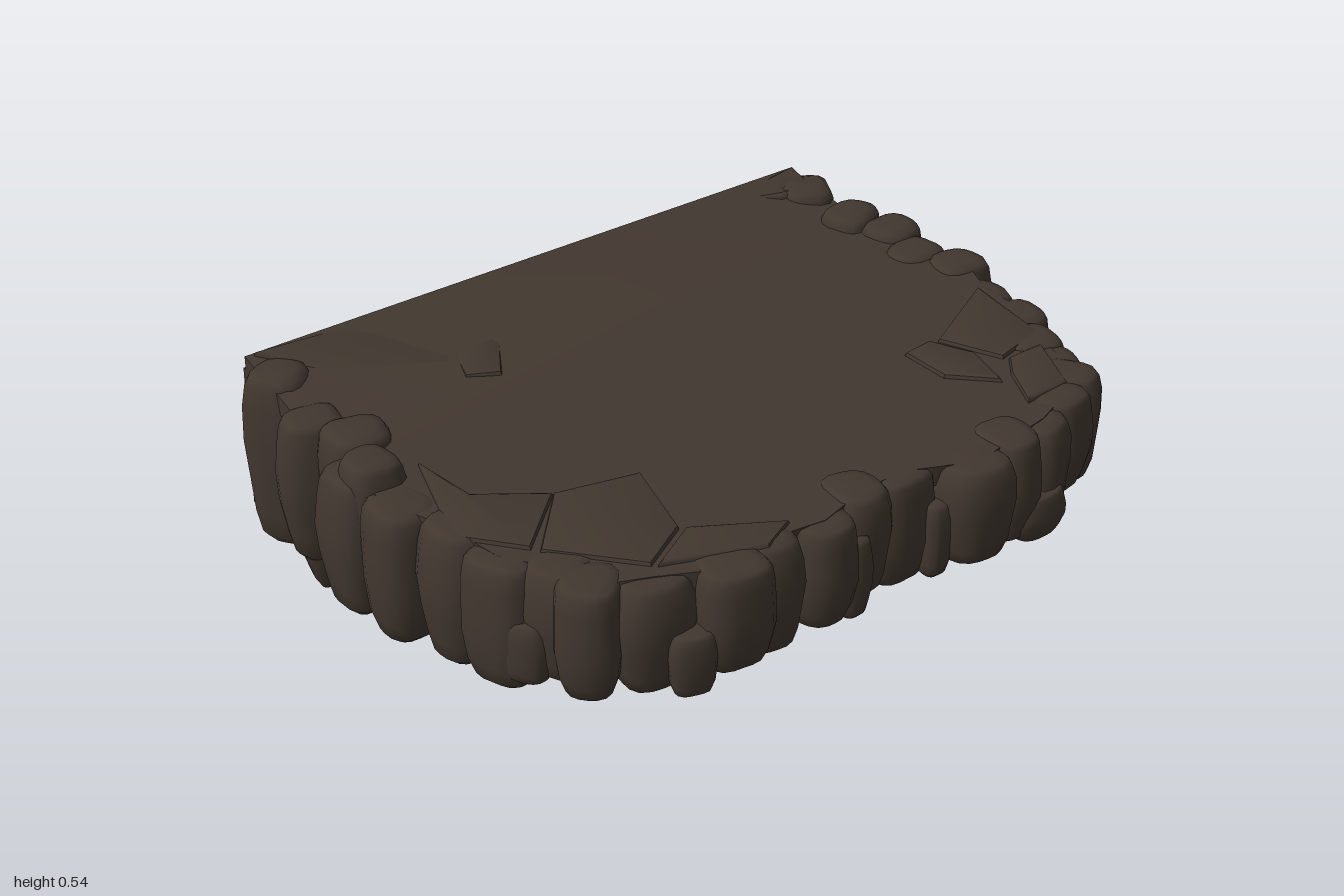
import * as THREE from 'three';
import { mergeVertices, toCreasedNormals } from 'three/addons/utils/BufferGeometryUtils.js';

const rock = new THREE.MeshStandardMaterial({ color: 0x41372f });
rock.name = 'dark brown rock';

const { smoothstep } = THREE.MathUtils;
const wave = (seed) => Math.sin(seed * 2.3);

// The deck falls gently from back to front
const deckY = (z) => 0.466 - 0.025 * z;

// Outward direction around the rounded plan
const outward = (x, z) => new THREE.Vector2(x ** 3, (z / 0.75) ** 3 / 0.75).normalize();

function part(name, geometry) {
  const mesh = new THREE.Mesh(geometry, rock);
  mesh.name = name;
  return mesh;
}

// Move every vertex by a rule
function reshape(geometry, rule) {
  const p = geometry.attributes.position;
  const v = new THREE.Vector3();
  for (let i = 0; i < p.count; i++) {
    rule(v.fromBufferAttribute(p, i));
    p.setXYZ(i, v.x, v.y, v.z);
  }
  geometry.computeVertexNormals();
  return geometry;
}

// Flat slab from an x, z outline, following the deck and lifted at the back corners
function slab(name, outline, raise, thick, bevel) {
  const g = new THREE.ExtrudeGeometry(new THREE.Shape(outline), {
    depth: thick, bevelEnabled: bevel > 0, bevelSize: bevel, bevelThickness: bevel,
    bevelOffset: -bevel, bevelSegments: 2,
  });
  g.rotateX(Math.PI / 2);
  reshape(g, (v) => {
    const corner = smoothstep(Math.abs(v.x), 0.55, 0.85) * smoothstep(-v.z, 0.45, 0.65);
    v.y += deckY(v.z) + raise - bevel + 0.04 * corner;
  });
  return part(name, toCreasedNormals(g, 0.7));
}

// Upright weathered stone: a blocky lathe, fuller at the middle, rounded below.
// x, z is its outermost point.
const PROFILE = [[0, 0], [0.45, 0.01], [0.72, 0.07], [0.86, 0.2], [0.97, 0.42],
  [1, 0.62], [0.95, 0.82], [0.87, 0.94], [0.76, 0.985], [0.5, 1], [0, 1]];
function stone(name, x, z, halfW, halfD, bottom, top, seed, taper = 0) {
  const out = outward(x, z);
  let g = new THREE.LatheGeometry(PROFILE.map(([r, y]) => new THREE.Vector2(r, y)), 18);
  g.deleteAttribute('uv');
  g.deleteAttribute('normal');
  g = mergeVertices(g, 1e-4);
  reshape(g, (v) => {
    const a = Math.atan2(v.x, v.z);
    const square = (Math.abs(Math.sin(a)) ** 3 + Math.abs(Math.cos(a)) ** 3) ** (-1 / 3);
    const lump = 0.93 + 0.04 * Math.sin(3 * a + seed * 1.7) + 0.03 * Math.sin(v.y * 9 + seed * 3);
    const size = square * lump * (1 - taper * Math.max(0, 0.45 - v.y));
    v.x *= size * halfW;
    v.z *= size * halfD;
    v.y = bottom + v.y * (top - bottom);
  });
  g.rotateY(Math.atan2(out.x, out.y) + 0.1 * wave(seed));
  g.translate(x - out.x * halfD, 0, z - out.y * halfD);
  return part(name, g);
}

// Outermost points of the rim stones, from back right round the front
const RIM = [
  [-0.95, -0.44], [-0.91, -0.3], [-0.995, -0.16], [-0.98, 0], [-0.93, 0.16], [-0.91, 0.32],
  [-0.83, 0.46], [-0.8, 0.58], [-0.64, 0.65], [-0.46, 0.735], [-0.33, 0.69], [-0.18, 0.71],
  [-0.04, 0.67], [0.09, 0.66], [0.27, 0.74], [0.41, 0.71], [0.53, 0.69], [0.66, 0.64],
  [0.78, 0.57], [0.83, 0.45], [0.86, 0.34], [0.93, 0.21], [0.93, 0.07], [0.995, -0.08],
  [0.95, -0.2], [0.98, -0.33], [0.93, -0.47],
].map(([x, z]) => new THREE.Vector2(x, z));

// Cracked plates lying on the deck, as x, z corners
const PLATES = [
  [[-0.84, -0.7], [-0.22, -0.7], [-0.31, -0.56], [-0.45, -0.43], [-0.7, -0.52]],
  [[-0.46, -0.36], [-0.42, -0.47], [-0.29, -0.54], [-0.3, -0.44], [-0.38, -0.32]],
  [[-0.77, -0.1], [-0.75, 0.08], [-0.6, 0.19], [-0.77, 0.34], [-0.88, 0.2]],
  [[-0.6, 0.19], [-0.39, 0.24], [-0.46, 0.47], [-0.6, 0.55], [-0.76, 0.36]],
  [[-0.45, 0.48], [-0.25, 0.6], [-0.35, 0.65], [-0.59, 0.56]],
  [[0.46, 0.2], [0.55, 0.19], [0.6, 0.3], [0.56, 0.44], [0.46, 0.34]],
  [[0.57, 0.2], [0.84, 0.06], [0.8, 0.32], [0.64, 0.36]],
  [[0.6, 0.43], [0.65, 0.37], [0.76, 0.37], [0.68, 0.54], [0.54, 0.55]],
  [[0.6, -0.7], [0.86, -0.7], [0.84, -0.58], [0.74, -0.6]],
];

export function createModel() {
  const model = new THREE.Group();
  model.name = 'rockPlatform';

  // Thin deck over a hollow underside, reaching into the rim stones
  const deck = RIM.map((p) => p.clone().addScaledVector(outward(p.x, p.y), -0.07));
  deck.push(new THREE.Vector2(0.86, -0.71), new THREE.Vector2(-0.86, -0.71));
  model.add(slab('deck', deck, 0, 0.05, 0));

  // Back wall, rippled along its face and arched along its lower edge
  const wall = new THREE.BoxGeometry(1.72, 1, 0.05, 64, 8, 1);
  reshape(wall, (v) => {
    const t = v.y + 0.5;
    const bottom = 0.195 - 0.08 * smoothstep(Math.abs(v.x), 0.6, 0.82) + 0.012 * Math.sin(v.x * 9);
    v.y = bottom + t * (deckY(-0.72) + 0.004 - bottom);
    const bulge = 0.016 * Math.cos((v.x - 0.06) * 12.5) + 0.006 * Math.sin(v.x * 31);
    v.z -= 0.695 + bulge * (0.5 + 0.5 * Math.sin(t * Math.PI)) + 0.012 * (1 - t);
  });
  model.add(part('backWall', toCreasedNormals(wall, 0.8)));

  // Rim stones, as wide as their spacing and shorter towards the front
  RIM.forEach((p, i) => {
    const before = RIM[Math.max(i - 1, 0)];
    const after = RIM[Math.min(i + 1, RIM.length - 1)];
    const halfW = THREE.MathUtils.clamp(0.32 * before.distanceTo(after), 0.08, 0.11);
    const bottom = 0.11 + 0.06 * smoothstep(p.y, 0.1, 0.65) + 0.018 * wave(i) * smoothstep(p.y, 0, 0.5);
    const top = deckY(p.y) + 0.005 + 0.02 * smoothstep(-p.y, 0, 0.4) + 0.006 * wave(i + 5);
    model.add(stone('rimStone', p.x, p.y, halfW, 0.095, bottom, top, i + 1));
  });
  model.add(stone('tallRimStone', -0.96, -0.13, 0.085, 0.08, 0.2, 0.52, 30));

  // Low broken stones tucked against the outer face: x, z, half width, top
  [[-0.58, 0.7, 0.06, 0.33], [0.48, 0.71, 0.09, 0.29], [-0.87, 0.4, 0.07, 0.33],
    [0.87, 0.37, 0.07, 0.33], [0.16, 0.68, 0.04, 0.37], [-0.1, 0.69, 0.05, 0.38],
  ].forEach(([x, z, w, top], i) => model.add(stone('lowStone', x, z, w, 0.05, 0.165, top, i + 40)));

  // Back corner pillars and pointed feet
  for (const s of [-1, 1]) {
    model.add(stone('cornerPillar', s * 0.88, -0.68, 0.09, 0.09, 0.05, 0.525, 60 + s));
    model.add(stone('cornerFoot', s * 0.92, -0.47, 0.095, 0.09, 0, 0.46, 70 + s, 1.1));
  }

  for (const corners of PLATES) {
    const outline = corners.map(([x, z]) => new THREE.Vector2(x, z));
    model.add(slab('crackedPlate', outline, 0.012, 0.012, 0.012));
  }
  return model;
}
